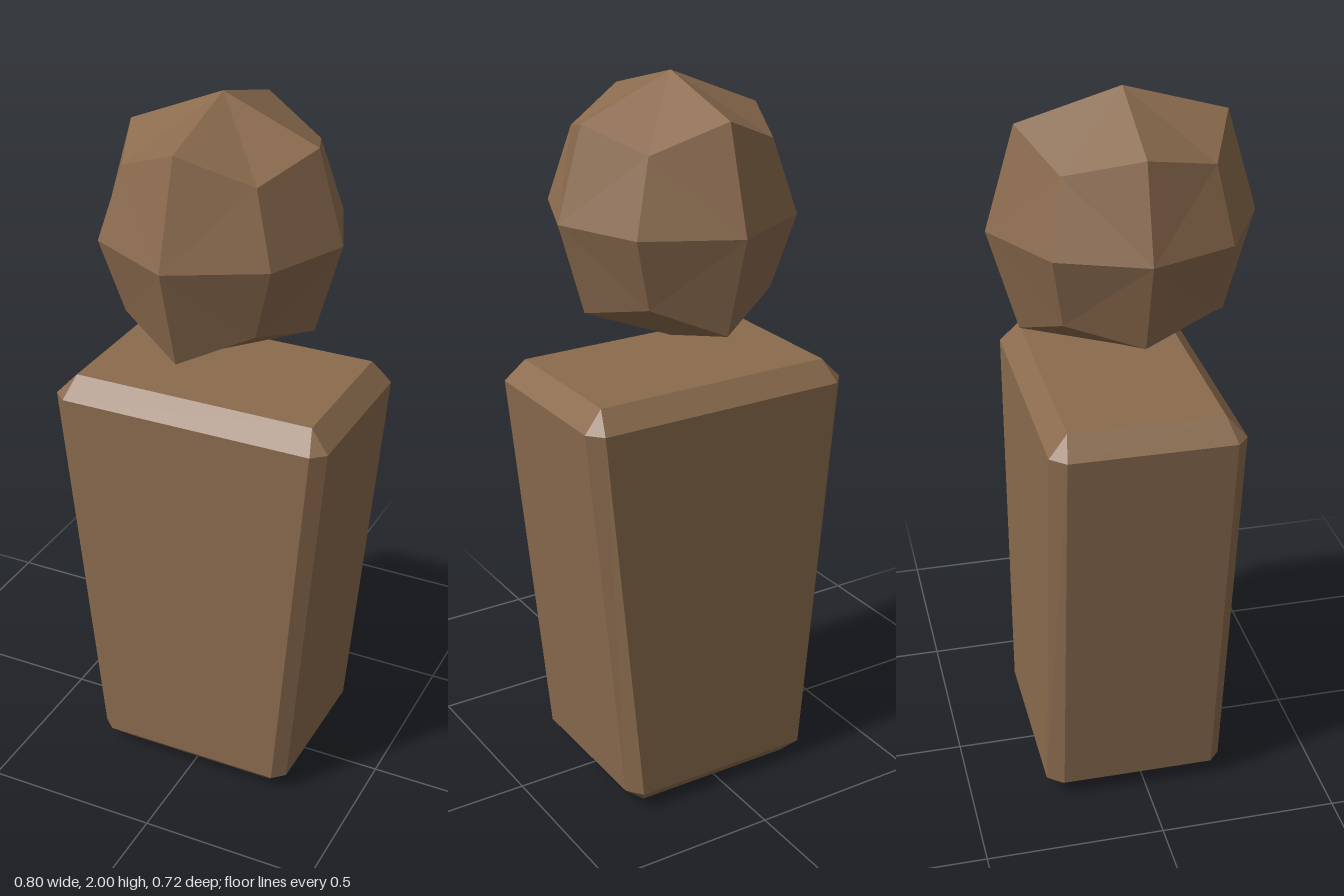
import * as THREE from 'three';

// Unshared corners give every facet its own flat normal
function facetGeometry(triangles) {
  const geometry = new THREE.BufferGeometry();
  geometry.setAttribute('position', new THREE.Float32BufferAttribute(triangles.flat(2), 3));
  geometry.computeVertexNormals();
  return geometry;
}

// Rounded cube of 24 quads: axis points, edge midpoints and corners mirrored over 8 octants
function headGeometry() {
  const X = [0.337, 0, 0], Y = [0, 0.36, 0], Z = [0, 0, 0.362];
  const XY = [0.265, 0.25, 0], YZ = [0, 0.28, 0.28], XZ = [0.242, 0, 0.234];
  const C = [0.186, 0.2, 0.199];
  const quads = [[X, XY, C, XZ], [Y, YZ, C, XY], [Z, XZ, C, YZ]];
  const triangles = [];
  for (const sx of [1, -1]) for (const sy of [1, -1]) for (const sz of [1, -1]) {
    for (const quad of quads) {
      const q = quad.map(([x, y, z]) => [x * sx, y * sy, z * sz]);
      if (sx * sy * sz < 0) q.reverse().unshift(q.pop());
      triangles.push([q[0], q[1], q[2]], [q[0], q[2], q[3]]);
    }
  }
  return facetGeometry(triangles);
}

// Octagonal cross-section: inner/outer half width, front and back depth with their chamfer starts
function ring(y, inner, outer, front, frontCut, back, backCut) {
  const right = [[inner, front], [outer, frontCut], [outer, backCut], [inner, back]];
  const left = right.map(([x, z]) => [-x, z]).reverse();
  return [...right, ...left].map(([x, z]) => [x, y, z]);
}

// Tapered torso block with chamfered edges
function bodyGeometry() {
  const rings = [
    ring(0, 0.235, 0.235, 0.175, 0.175, -0.235, -0.235),
    ring(0.052, 0.262, 0.296, 0.226, 0.195, -0.285, -0.24),
    ring(1.157, 0.363, 0.4, 0.248, 0.215, -0.277, -0.236),
    ring(1.215, 0.346, 0.346, 0.195, 0.195, -0.225, -0.225),
  ];
  const triangles = [];
  const same = (a, b) => a.every((v, i) => v === b[i]);
  const add = (a, b, c) => {
    if (!same(a, b) && !same(b, c) && !same(a, c)) triangles.push([a, b, c]);
  };
  for (let r = 0; r < rings.length - 1; r++) {
    const low = rings[r], high = rings[r + 1];
    for (let i = 0; i < 8; i++) {
      const j = (i + 1) % 8;
      add(low[i], low[j], high[j]);
      add(low[i], high[j], high[i]);
    }
  }
  // Top and bottom caps
  const bottom = rings[0], top = rings[3];
  for (const [i, j] of [[2, 4], [4, 6]]) {
    add(top[0], top[i], top[j]);
    add(bottom[0], bottom[j], bottom[i]);
  }
  return facetGeometry(triangles);
}

export function createModel() {
  const brown = new THREE.MeshStandardMaterial({ color: 0x8b6b4e });
  brown.name = 'brown';

  const group = new THREE.Group();
  group.name = 'figure';

  const head = new THREE.Mesh(headGeometry(), brown);
  head.name = 'head';
  head.position.y = 1.64;

  const body = new THREE.Mesh(bodyGeometry(), brown);
  body.name = 'body';

  group.add(head, body);
  return group;
}
